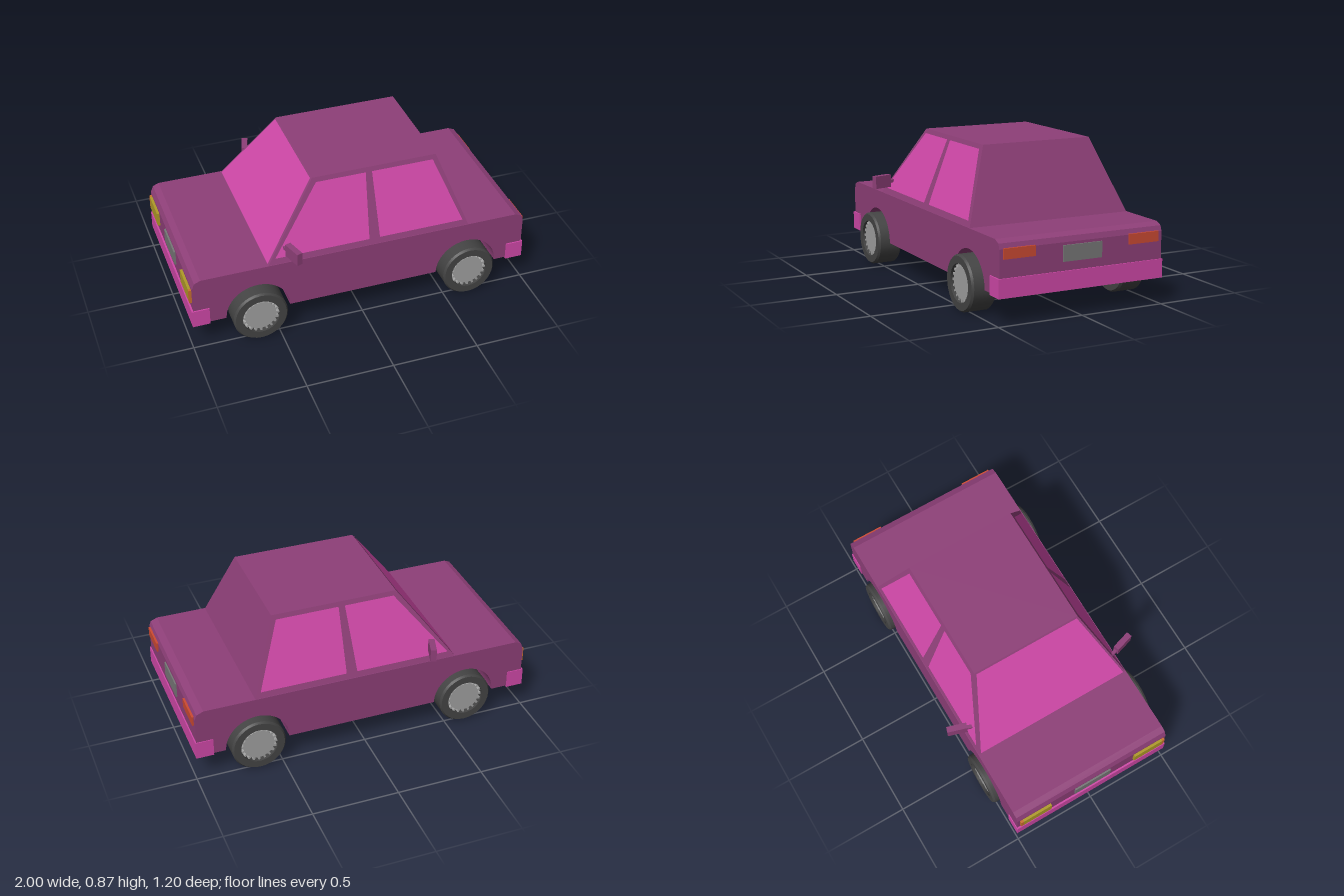
import * as THREE from 'three';
import { ConvexGeometry } from 'three/addons/geometries/ConvexGeometry.js';

const mat = (color, opts = {}) => {
  const m = new THREE.MeshStandardMaterial(opts);
  m.color.set(color);
  return m;
};
const paint = mat(0x8e3f78);
const pink = mat(0xd048a8, { side: THREE.DoubleSide });
const rubber = mat(0x444444);
const metal = mat(0xa0a0a0);
const plateGrey = mat(0x777777);
const red = mat(0xcc4a33);
const yellow = mat(0xb09a28);
const orange = mat(0xc8702f);

function add(parent, name, geometry, material, x = 0, y = 0, z = 0) {
  const mesh = new THREE.Mesh(geometry, material);
  mesh.name = name;
  mesh.position.set(x, y, z);
  parent.add(mesh);
  return mesh;
}

// Box given by its lower and upper corners
function block(parent, name, material, a, b) {
  const size = b.map((v, i) => v - a[i]);
  return add(parent, name, new THREE.BoxGeometry(...size), material, ...a.map((v, i) => v + size[i] / 2));
}

// Flat four-cornered panel
function quad(parent, name, material, corners) {
  const g = new THREE.BufferGeometry();
  g.setAttribute('position', new THREE.Float32BufferAttribute(corners.flat(), 3));
  g.setIndex([0, 1, 2, 0, 2, 3]);
  g.computeVertexNormals();
  return add(parent, name, g, material);
}

const AXLES = [-0.615, 0.64], WHEEL_R = 0.157, ARCH_R = 0.185, BOTTOM = 0.155;

// Lower body: side profile with the wheel arches cut right through
function makeBody(car) {
  const s = new THREE.Shape();
  s.moveTo(-0.985, BOTTOM);
  for (const x of AXLES) {
    s.lineTo(x - ARCH_R, BOTTOM);
    s.absarc(x, BOTTOM, ARCH_R, Math.PI, 0, true);
  }
  s.lineTo(0.99, BOTTOM);
  s.lineTo(0.99, 0.405);
  s.lineTo(0.98, 0.435);
  s.lineTo(0.94, 0.452);
  s.lineTo(-0.935, 0.452);
  s.lineTo(-0.97, 0.437);
  s.lineTo(-0.985, 0.4);
  s.closePath();
  const g = new THREE.ExtrudeGeometry(s, { depth: 0.99, bevelEnabled: false, curveSegments: 20 });
  add(car, 'body', g, paint, 0, 0, -0.5);
}

// Tapered cabin with side windows and windscreen
function makeCabin(car) {
  const y0 = 0.45, y1 = 0.866;
  const sideZ = (y, side) => -0.005 + side * (0.492 - (y - y0) / (y1 - y0) * 0.16);
  const points = [];
  for (const side of [-1, 1]) {
    for (const [x, y] of [[-0.55, y0], [0.645, y0], [0.49, y1], [-0.24, y1]]) {
      points.push(new THREE.Vector3(x, y, sideZ(y, side)));
    }
  }
  add(car, 'cabin', new ConvexGeometry(points), paint);

  const windows = {
    frontWindow: [[-0.505, 0.485], [0.045, 0.485], [0.068, 0.842], [-0.222, 0.842]],
    rearWindow: [[0.108, 0.485], [0.61, 0.485], [0.468, 0.842], [0.105, 0.842]],
  };
  for (const side of [-1, 1]) {
    for (const [name, outline] of Object.entries(windows)) {
      const corners = outline.map(([x, y]) => [x, y, sideZ(y, side) + side * 0.004]);
      quad(car, name, pink, side > 0 ? corners : corners.reverse());
    }
  }

  const frontX = (y) => -0.554 + (y - y0) / (y1 - y0) * 0.31;
  const corner = (y, side) => [frontX(y), y, sideZ(y, side) - side * 0.012];
  quad(car, 'windscreen', pink, [corner(0.456, -1), corner(0.456, 1), corner(0.86, 1), corner(0.86, -1)]);
}

// Tyre, hub disc and short spokes with open gaps between
function makeWheel() {
  const wheel = new THREE.Group();
  wheel.name = 'wheel';
  const w = 0.073, inner = 0.107;
  const profile = [[inner, -w], [0.148, -w], [WHEEL_R, -w + 0.012], [WHEEL_R, w - 0.012], [0.148, w], [inner, w], [inner, -w]];
  // Each band is turned separately so the edges stay sharp
  for (let i = 0; i < profile.length - 1; i++) {
    const band = profile.slice(i, i + 2).map((p) => new THREE.Vector2(...p));
    add(wheel, 'tyre', new THREE.LatheGeometry(band, 32).rotateX(Math.PI / 2), rubber);
  }
  add(wheel, 'hub', new THREE.CylinderGeometry(0.09, 0.09, 0.12, 32).rotateX(Math.PI / 2), metal);
  const spokes = 20;
  for (let i = 0; i < spokes; i++) {
    const a = i / spokes * Math.PI * 2;
    const spoke = add(wheel, 'spoke', new THREE.BoxGeometry(0.024, 0.012, 0.12), metal, Math.cos(a) * 0.098, Math.sin(a) * 0.098, 0);
    spoke.rotation.z = a;
  }
  return wheel;
}

function makeRunningGear(car) {
  for (const x of AXLES) {
    add(car, 'axle', new THREE.CylinderGeometry(0.037, 0.037, 0.86, 24).rotateX(Math.PI / 2), plateGrey, x, WHEEL_R, 0.008);
    for (const z of [-0.458, 0.475]) {
      const wheel = makeWheel();
      wheel.position.set(x, WHEEL_R, z);
      car.add(wheel);
    }
  }
}

// Bumpers, lamps and number plates
function makeTrim(car) {
  block(car, 'frontBumper', pink, [-0.995, 0.147, -0.505], [-0.895, 0.252, 0.498]);
  block(car, 'rearBumper', pink, [0.895, 0.147, -0.505], [0.997, 0.252, 0.498]);
  block(car, 'frontPlate', plateGrey, [-0.995, 0.302, -0.12], [-0.97, 0.39, 0.115]);
  block(car, 'rearPlate', plateGrey, [0.97, 0.302, -0.12], [0.998, 0.39, 0.115]);
  for (const side of [-1, 1]) {
    const span = (a, b) => [a, b].map((v) => -0.003 + side * v).sort((p, q) => p - q);
    const lamp = (name, material, x0, x1, y0, y1, a, b) => {
      const [z0, z1] = span(a, b);
      block(car, name, material, [x0, y0, z0], [x1, y1, z1]);
    };
    lamp('tailLight', red, 0.97, 1, 0.353, 0.41, 0.285, 0.472);
    lamp('headlight', yellow, -1, -0.97, 0.302, 0.387, 0.278, 0.462);
    lamp('indicator', orange, -1, -0.97, 0.302, 0.387, 0.462, 0.48);
  }
}

// Angled door mirrors on short stalks
function makeMirrors(car) {
  for (const [side, x, y] of [[1, -0.418, 0.54], [-1, -0.385, 0.557]]) {
    const mirror = new THREE.Group();
    mirror.name = 'doorMirror';
    mirror.position.set(x, y, side * 0.541);
    mirror.rotation.y = side * 0.3;
    add(mirror, 'mirrorHousing', new THREE.BoxGeometry(0.034, 0.074, 0.115), paint);
    add(mirror, 'mirrorStalk', new THREE.BoxGeometry(0.02, 0.018, 0.06), paint, 0, -0.006, -side * 0.08);
    car.add(mirror);
  }
}

export function createModel() {
  const car = new THREE.Group();
  car.name = 'car';
  makeBody(car);
  makeCabin(car);
  makeRunningGear(car);
  makeTrim(car);
  makeMirrors(car);
  return car;
}
